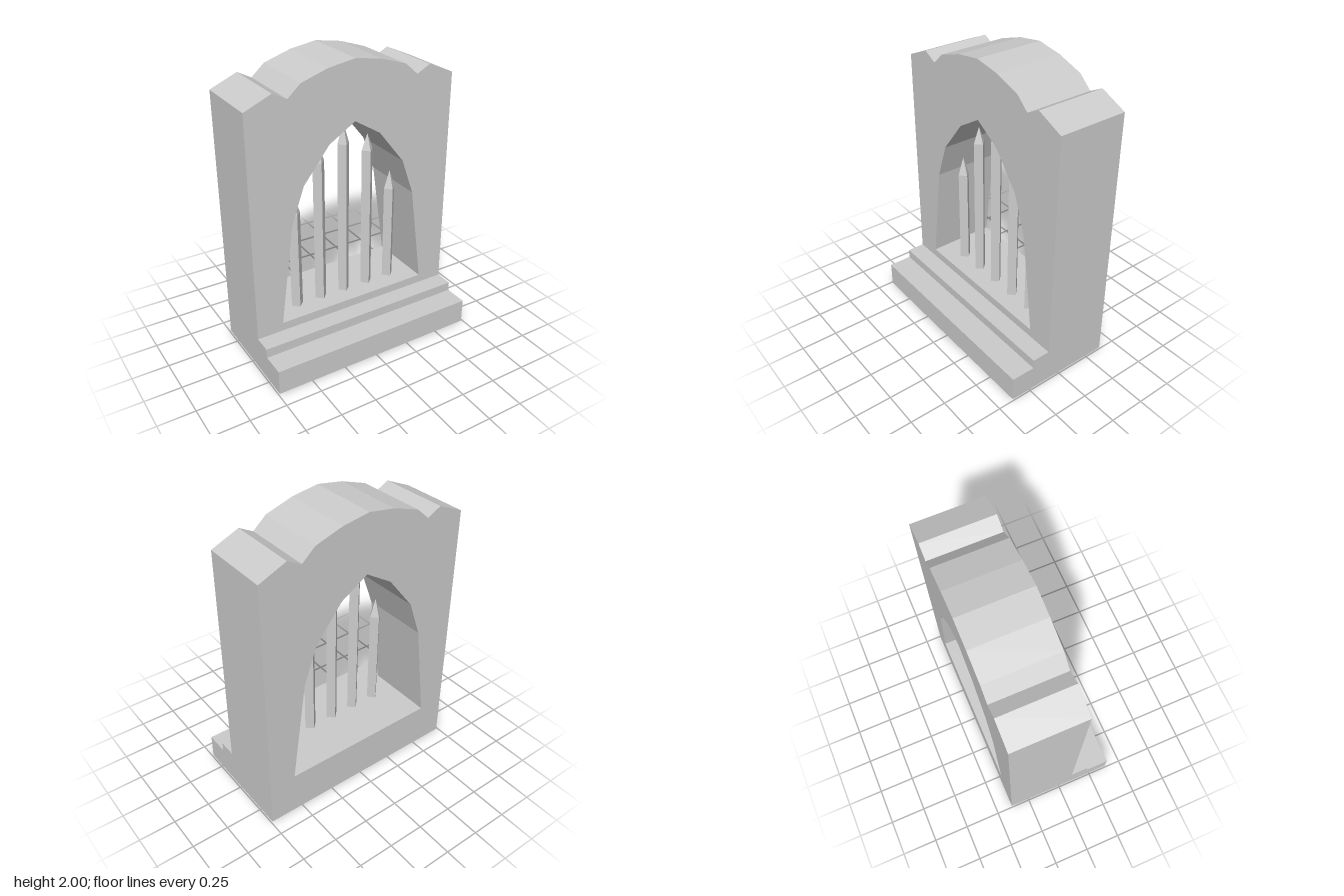
import * as THREE from 'three';
import { mergeGeometries } from 'three/addons/utils/BufferGeometryUtils.js';

const HALF = 0.74, FRONT = 0.095, BACK = -0.385, TOE = 0.385;
const STEP1 = 0.175, STEP2 = 0.24, STEP_Z = 0.22, SILL = 0.3, EAVE = 1.8;

const material = new THREE.MeshStandardMaterial({
  color: 0xcccccc, flatShading: true, side: THREE.DoubleSide,
});

const toShape = (points) => new THREE.Shape(points.map(([x, y]) => new THREE.Vector2(x, y)));

// Right half of a contour, bottom to apex, completed with its mirror image
const mirrored = (half) => [
  ...half,
  ...half.slice(0, -1).reverse().map(([x, y]) => [-x, y]),
];

// Strip of flat quads following a path, swept from z0 to z1
function ribbon(path, z0, z1) {
  const pos = [];
  for (let i = 0; i < path.length - 1; i++) {
    const [ax, ay] = path[i], [bx, by] = path[i + 1];
    pos.push(ax, ay, z0, bx, by, z0, bx, by, z1, ax, ay, z0, bx, by, z1, ax, ay, z1);
  }
  const g = new THREE.BufferGeometry();
  g.setAttribute('position', new THREE.Float32BufferAttribute(pos, 3));
  g.computeVertexNormals();
  return g;
}

export function createModel() {
  const model = new THREE.Group();
  model.name = 'archedWindow';
  const add = (name, geometry, parent = model) => {
    const mesh = new THREE.Mesh(geometry, material);
    mesh.name = name;
    parent.add(mesh);
    return mesh;
  };

  const crest = mirrored([[HALF, EAVE], [0.555, 1.88], [0.46, 1.83], [0.37, 1.91], [0.185, 1.97], [0, 2]]);
  const arch = mirrored([[0.555, SILL], [0.46, 1.0], [0.37, 1.255], [0.185, 1.49], [0, 1.605]]);

  // Pierced wall faces; the front one starts at the upper step
  const wall = (bottom) => {
    const shape = toShape([[-HALF, bottom], [HALF, bottom], ...crest]);
    shape.holes.push(toShape(arch));
    return new THREE.ShapeGeometry(shape);
  };
  add('frontWall', wall(STEP2).translate(0, 0, FRONT));
  add('backWall', wall(0).rotateY(Math.PI).translate(0, 0, BACK));

  // Crest along the top and the lining of the opening, sill included
  add('crest', ribbon(crest, BACK, FRONT));
  add('archLining', ribbon([...arch, arch[0]].reverse(), BACK, FRONT));

  // Front steps: the shell is open underneath
  const steps = [[TOE, 0], [TOE, STEP1], [STEP_Z, STEP1], [STEP_Z, STEP2], [FRONT, STEP2]];
  add('frontSteps', ribbon(steps, -HALF, HALF).rotateY(-Math.PI / 2));

  // Side walls with the stepped outline
  const profile = [[BACK, 0], ...steps, [FRONT, EAVE], [BACK, EAVE]];
  for (const s of [-1, 1]) {
    const shape = toShape(profile.map(([z, y]) => [-s * z, y]));
    add(s > 0 ? 'leftSide' : 'rightSide',
      new THREE.ShapeGeometry(shape).rotateY(s * Math.PI / 2).translate(s * HALF, 0, 0));
  }

  // Square bars set corner-forward, with pointed tips: x, shoulder, tip
  const bars = new THREE.Group();
  bars.name = 'bars';
  model.add(bars);
  const radius = 0.043;
  for (const [x, shoulder, tip] of [
    [-0.37, 1.0, 1.13], [-0.185, 1.325, 1.44], [0, 1.41, 1.56], [0.185, 1.325, 1.44], [0.37, 1.0, 1.13],
  ]) {
    const shaft = new THREE.CylinderGeometry(radius, radius, shoulder - SILL, 4, 1, true)
      .translate(0, (shoulder + SILL) / 2, 0);
    const point = new THREE.ConeGeometry(radius, tip - shoulder, 4, 1, true)
      .translate(0, (shoulder + tip) / 2, 0);
    add('bar', mergeGeometries([shaft, point]), bars).position.set(x, 0, -0.05);
  }
  return model;
}
